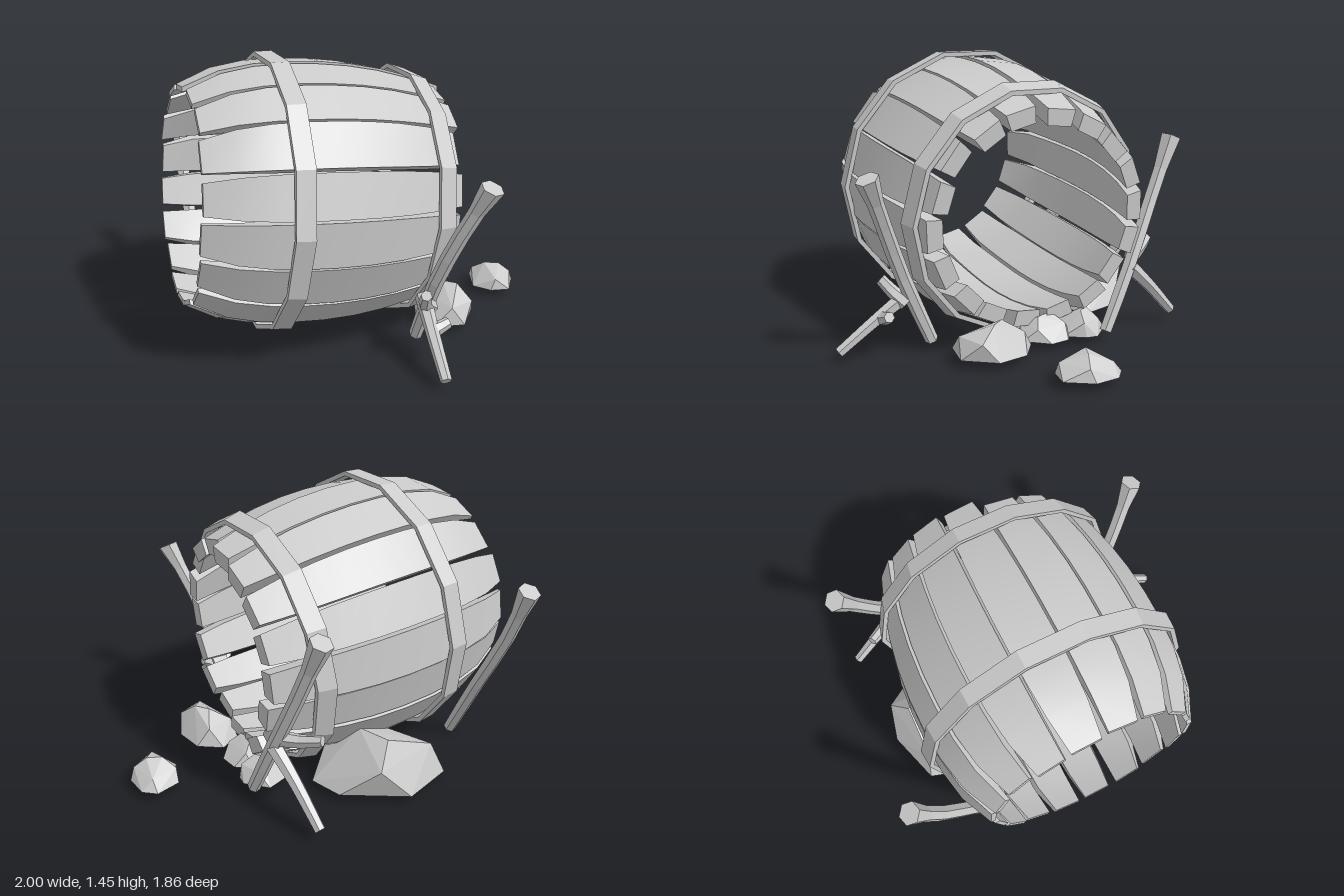
import * as THREE from 'three';
import { ConvexGeometry } from 'three/addons/geometries/ConvexGeometry.js';

const smooth = new THREE.MeshStandardMaterial({ color: 0xcccccc });
const flat = new THREE.MeshStandardMaterial({ color: 0xcccccc, flatShading: true });
const shell = new THREE.MeshStandardMaterial({ color: 0xcccccc, flatShading: true, side: THREE.DoubleSide });
const V = (x, y, z) => new THREE.Vector3(x, y, z);

function seeded(seed) {
  return () => {
    seed = (seed * 16807) % 2147483647;
    return seed / 2147483647;
  };
}

function add(parent, name, geometry, material) {
  const mesh = new THREE.Mesh(geometry, material);
  mesh.name = name;
  parent.add(mesh);
  return mesh;
}

const STAVES = 18;
const STEP = (Math.PI * 2) / STAVES;

// outer radius of the barrel along its axis
function barrelRadius(s) {
  const u = s + 0.05;
  return u > 0 ? 0.695 - 0.24 * u * u : 0.695 - 0.16 * u * u - 0.45 * u ** 4;
}

// a plank bent along the barrel's belly, narrower at both ends and thinner at its start
function stave(angle, start, end, width, lift) {
  const g = new THREE.BoxGeometry(1, 1, 1, 8, 1, 1);
  const p = g.attributes.position;
  for (let i = 0; i < p.count; i++) {
    const t = p.getX(i) + 0.5;
    const s = THREE.MathUtils.lerp(start, end, t);
    const thick = 0.085 * Math.min(1, 0.3 + 2.5 * t);
    const r = barrelRadius(s) + lift - 0.042 + (p.getY(i) > 0 ? 0.042 : 0.042 - thick);
    const th = angle - p.getZ(i) * (width - 0.05 * (2 * p.getX(i)) ** 4);
    p.setXYZ(i, s, r * Math.sin(th), r * Math.cos(th));
  }
  g.computeVertexNormals();
  return g;
}

// hoop with a rectangular section following the belly
function hoop(s) {
  const w = 0.047;
  const a = barrelRadius(s - w) + 0.008;
  const b = barrelRadius(s + w) + 0.008;
  const t = 0.025;
  const section = [[a, -w], [a + t, -w], [b + t, w], [b, w], [a, -w]];
  const g = new THREE.LatheGeometry(section.map(([x, y]) => new THREE.Vector2(x, y)), 14);
  g.rotateZ(-Math.PI / 2);
  g.translate(s, 0, 0);
  return g;
}

// six-sided stick along a curve, radii spread evenly from first to last point
function stick(points, radii) {
  const curve = new THREE.CatmullRomCurve3(points);
  const g = new THREE.CylinderGeometry(1, 1, 1, 6, 6);
  const dir = points[points.length - 1].clone().sub(points[0]).normalize();
  const turn = new THREE.Quaternion().setFromUnitVectors(V(0, 1, 0), dir);
  const p = g.attributes.position;
  for (let i = 0; i < p.count; i++) {
    const t = p.getY(i) + 0.5;
    const k = Math.min(Math.floor(t * (radii.length - 1)), radii.length - 2);
    const r = THREE.MathUtils.lerp(radii[k], radii[k + 1], t * (radii.length - 1) - k);
    const v = V(p.getX(i) * r, 0, p.getZ(i) * r).applyQuaternion(turn).add(curve.getPoint(t));
    p.setXYZ(i, v.x, v.y, v.z);
  }
  return g;
}

// faceted rock, open underneath, with its top shifted by px, pz
function rock(seed, rx, rz, h, px = 0, pz = 0) {
  const rnd = seeded(seed);
  const pts = [];
  for (const [n, y, r] of [[7, 0, 1], [4, 0.55, 0.8], [2, 0.96, 0.3]]) {
    for (let i = 0; i < n; i++) {
      const a = ((i + rnd() * 0.5) / n) * Math.PI * 2;
      const q = r * (0.9 + rnd() * 0.14);
      const yy = y ? h * (y + (rnd() - 0.5) * 0.1) : 0;
      pts.push(V(Math.cos(a) * q * rx + px * y, yy, Math.sin(a) * q * rz + pz * y));
    }
  }
  // leave out the triangles lying on the ground
  const p = new ConvexGeometry(pts).attributes.position;
  const kept = [];
  for (let i = 0; i < p.count; i += 3) {
    if (Math.max(p.getY(i), p.getY(i + 1), p.getY(i + 2)) < 1e-4) continue;
    for (let j = i; j < i + 3; j++) kept.push(V(p.getX(j), p.getY(j), p.getZ(j)));
  }
  const g = new THREE.BufferGeometry().setFromPoints(kept);
  g.computeVertexNormals();
  return g;
}

export function createModel() {
  const model = new THREE.Group();
  model.name = 'brokenBarrel';

  // barrel lying on its side, open at both ends
  const barrel = new THREE.Group();
  barrel.name = 'barrel';
  barrel.position.set(-0.22, 0.735, 0.03);
  barrel.rotation.set(0, 0.2, -0.085, 'YZX');
  model.add(barrel);
  const rnd = seeded(4711);
  for (let i = 0; i < STAVES; i++) {
    const angle = (i + 0.8) * STEP + (rnd() - 0.5) * 0.012;
    const start = -0.685 + (rnd() - 0.5) * 0.03;
    const end = 0.655 - 0.07 * Math.cos(angle) + (rnd() - 0.5) * 0.06;
    const width = STEP - 0.012 - rnd() * 0.018;
    add(barrel, 'stave', stave(angle, start, end, width, -rnd() * 0.015), smooth);
  }
  for (const s of [-0.25, 0.49]) add(barrel, 'hoop', hoop(s), flat);

  // propping branches
  const shaft = [0.034, 0.038, 0.038, 0.04, 0.036, 0.058];
  const twig = [0.042, 0.034, 0.028];
  const sticks = {
    frontBranch: [[V(0.27, 0.06, 0.44), V(0.33, 0.42, 0.59), V(0.42, 0.7, 0.69), V(0.53, 0.96, 0.78)], shaft],
    frontBranchFoot: [[V(0.28, 0.33, 0.54), V(0.29, 0.21, 0.71), V(0.31, 0.06, 0.91)], twig],
    frontBranchKnot: [[V(0.31, 0.28, 0.57), V(0.27, 0.33, 0.63), V(0.26, 0.4, 0.69)], twig],
    frontBranchSpur: [[V(0.29, 0.21, 0.69), V(0.33, 0.22, 0.68), V(0.38, 0.24, 0.67)], twig],
    backBranch: [[V(0.42, 0.06, -0.45), V(0.36, 0.38, -0.6), V(0.29, 0.7, -0.74), V(0.23, 1.03, -0.88)], shaft],
    backBranchFoot: [[V(0.36, 0.38, -0.6), V(0.3, 0.24, -0.75), V(0.24, 0.07, -0.91)], twig],
    backBranchKnot: [[V(0.34, 0.43, -0.62), V(0.26, 0.44, -0.7), V(0.18, 0.47, -0.78)], twig],
    sideBranch: [[V(-0.83, 0.02, -0.22), V(-0.85, 0.4, -0.43), V(-0.89, 0.75, -0.61), V(-0.9, 1.05, -0.74)], shaft],
  };
  for (const [name, [points, radii]] of Object.entries(sticks)) {
    add(model, name, stick(points, radii), flat);
  }

  // rocks on the ground
  const rocks = [
    ['frontRock', 0.48, 0.19, rock(11, 0.17, 0.22, 0.17, 0.03, 0)],
    ['looseRock', 0.865, -0.16, rock(23, 0.14, 0.165, 0.115)],
    ['backRock', -0.25, -0.49, rock(37, 0.36, 0.33, 0.3, 0.05, -0.09)],
    ['innerRock', 0.36, -0.13, rock(51, 0.13, 0.15, 0.12)],
    ['wedgeRock', 0.34, -0.33, rock(77, 0.13, 0.14, 0.13)],
  ];
  for (const [name, x, z, g] of rocks) add(model, name, g, shell).position.set(x, 0.05, z);

  return model;
}
